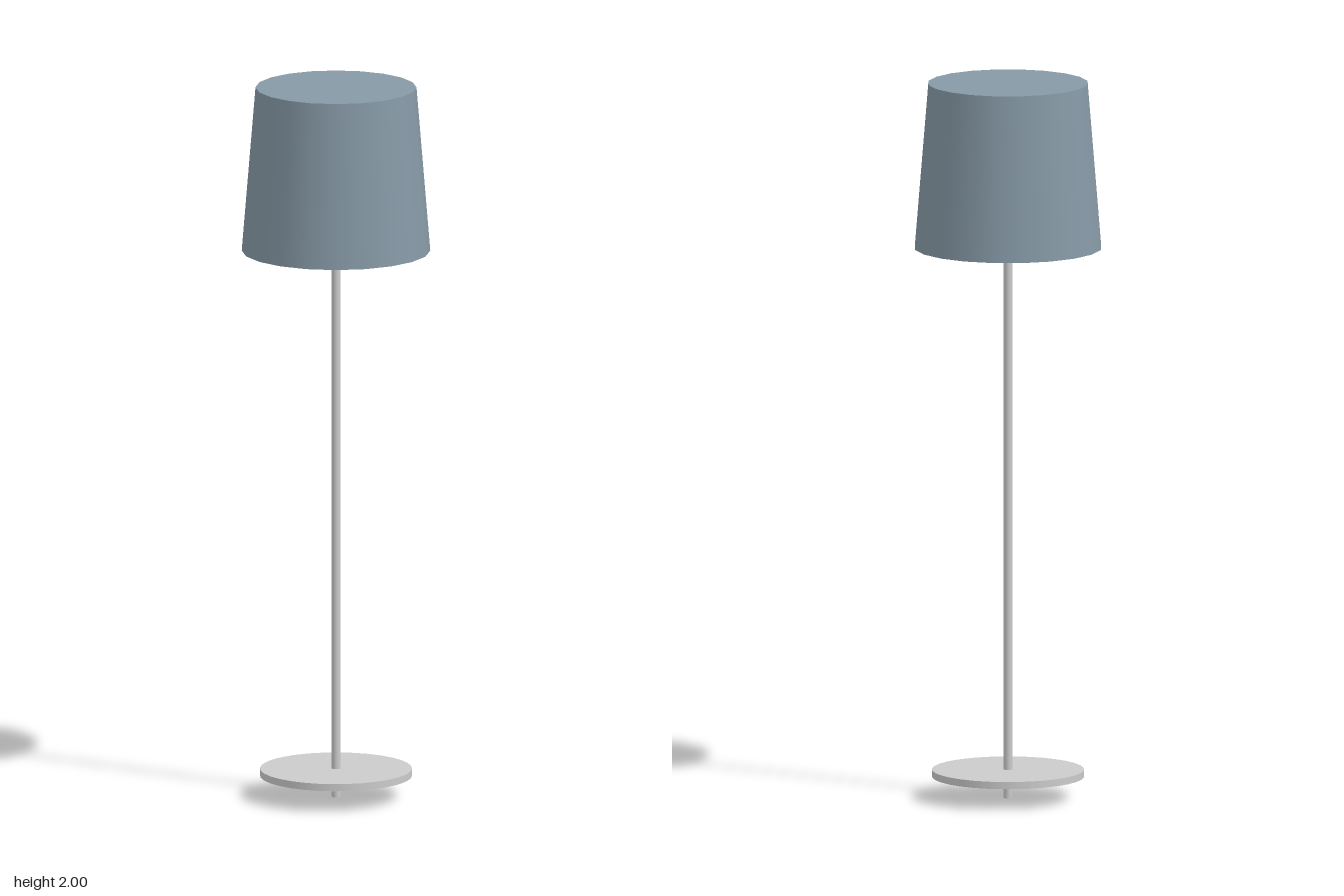
import * as THREE from 'three';

const grey = new THREE.MeshStandardMaterial({ color: 0xcccccc });
const fabric = new THREE.MeshStandardMaterial({ color: 0x8699a6 });
const fabricInside = new THREE.MeshStandardMaterial({ color: 0x8699a6, flatShading: true });

export function createModel() {
  const lamp = new THREE.Group();
  lamp.name = 'floorLamp';

  const add = (parent, name, geometry, material, y) => {
    const mesh = new THREE.Mesh(geometry, material);
    mesh.name = name;
    mesh.position.y = y;
    parent.add(mesh);
  };

  // Stand: thin pole through a flat round base, with a foot stub below
  add(lamp, 'base', new THREE.CylinderGeometry(0.21, 0.21, 0.02, 32), grey, 0.07);
  add(lamp, 'pole', new THREE.CylinderGeometry(0.012, 0.012, 1.7, 12), grey, 0.85);
  add(lamp, 'bulb', new THREE.SphereGeometry(0.1, 20, 14), grey, 1.75);

  // Shade: tapered drum, closed on top and hollow from below
  const shade = new THREE.Group();
  shade.name = 'shade';
  lamp.add(shade);
  const sides = 20;
  const lathe = (points) => new THREE.LatheGeometry(points.map(([r, y]) => new THREE.Vector2(r, y)), sides);
  add(shade, 'shadeWall', lathe([[0.26, 1.54], [0.222, 2]]), fabric, 0);
  add(shade, 'shadeTop', lathe([[0.222, 2], [0, 2]]), fabric, 0);
  add(shade, 'shadeRim', lathe([[0.235, 1.54], [0.26, 1.54]]), fabric, 0);
  add(shade, 'shadeLining', lathe([[0, 1.98], [0.2, 1.98], [0.235, 1.54]]), fabricInside, 0);

  return lamp;
}
